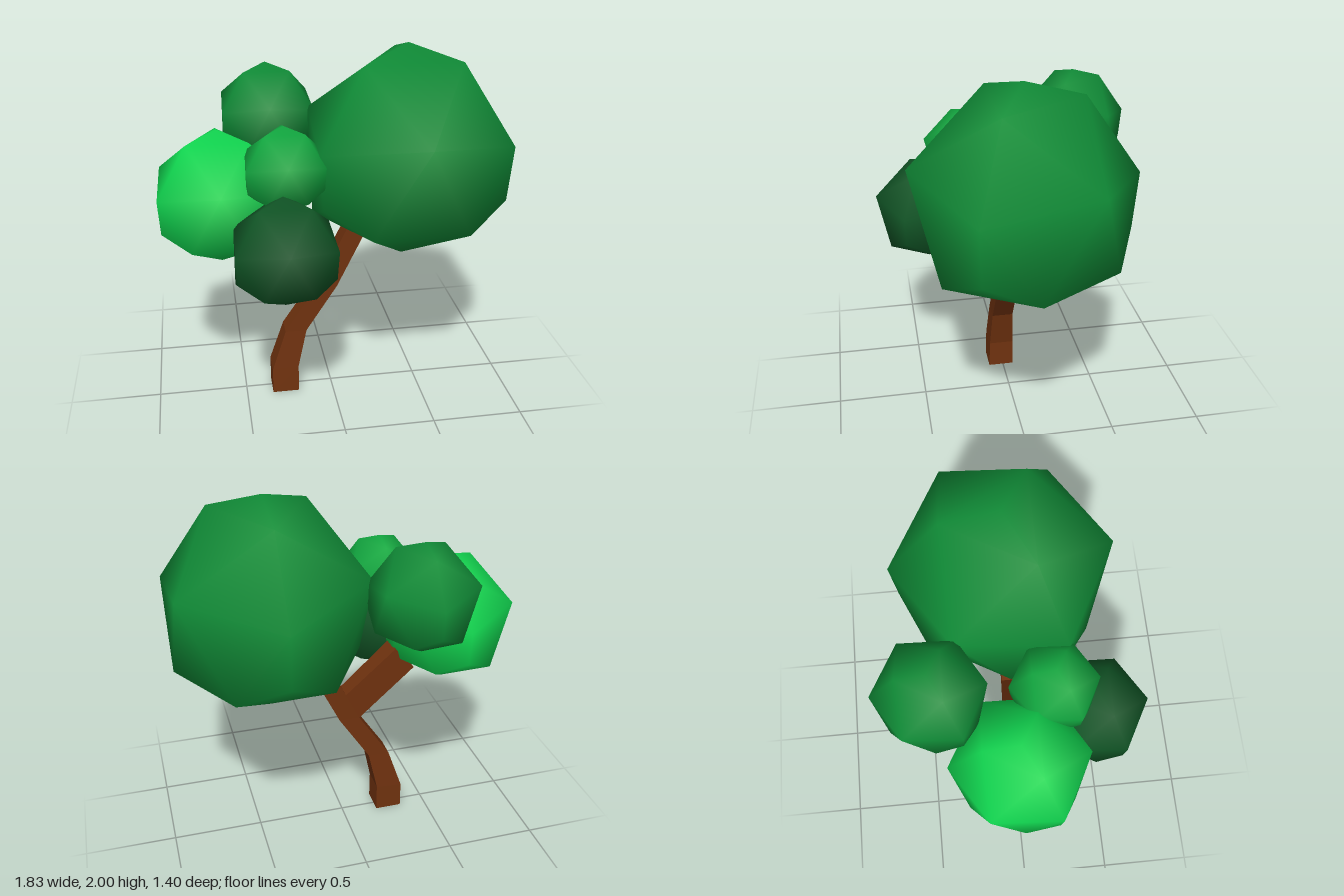
import * as THREE from 'three';
import { ConvexGeometry } from 'three/addons/geometries/ConvexGeometry.js';

// Faceted crown: a unit hull of rings [height, radius, count, start angle], shaded smoothly
function crownGeometry() {
  const rings = [
    [1, 0, 1, 0],
    [0.866, 0.5, 3, -90],
    [0.33, 0.95, 3, 90],
    [0.17, 0.985, 3, -90],
    [-0.33, 0.945, 3, -90],
    [-0.53, 0.85, 6, 0],
    [-1, 0, 1, 0],
  ];
  const points = [];
  for (const [y, r, n, start] of rings) {
    for (let i = 0; i < n; i++) {
      const a = THREE.MathUtils.degToRad(start + (360 / n) * i);
      points.push(new THREE.Vector3(r * Math.cos(a), y, r * Math.sin(a)));
    }
  }
  const geometry = new ConvexGeometry(points);
  const pos = geometry.attributes.position;
  const normals = geometry.attributes.normal;
  const v = new THREE.Vector3();
  for (let i = 0; i < pos.count; i++) {
    v.fromBufferAttribute(pos, i).normalize();
    normals.setXYZ(i, v.x, v.y, v.z);
  }
  return geometry;
}

// Square limb lofted through sections [x1, y1, x2, y2, zBack, zFront]
function limbGeometry(sections) {
  const positions = [];
  const index = [];
  for (const [x1, y1, x2, y2, zb, zf] of sections) {
    positions.push(x1, y1, zf, x2, y2, zf, x2, y2, zb, x1, y1, zb);
  }
  for (let s = 0; s < sections.length - 1; s++) {
    for (let i = 0; i < 4; i++) {
      const a = s * 4 + i;
      const b = s * 4 + ((i + 1) % 4);
      index.push(a, b, b + 4, a, b + 4, a + 4);
    }
  }
  const t = (sections.length - 1) * 4;
  index.push(0, 2, 1, 0, 3, 2, t, t + 1, t + 2, t, t + 2, t + 3);
  const indexed = new THREE.BufferGeometry();
  indexed.setAttribute('position', new THREE.Float32BufferAttribute(positions, 3));
  indexed.setIndex(index);
  const geometry = indexed.toNonIndexed();
  geometry.computeVertexNormals();
  return geometry;
}

export function createModel() {
  const tree = new THREE.Group();
  tree.name = 'tree';

  const add = (name, geometry, material) => {
    const mesh = new THREE.Mesh(geometry, material);
    mesh.name = name;
    tree.add(mesh);
    return mesh;
  };

  // Bent trunk and its side branch
  const bark = new THREE.MeshStandardMaterial({ color: 0x70320f, flatShading: true });
  add('trunk', limbGeometry([
    [-0.35, 0, -0.2, 0, -0.06, 0.085],
    [-0.35, 0.15, -0.2, 0.16, -0.06, 0.08],
    [-0.27, 0.39, -0.15, 0.39, -0.05, 0.07],
    [-0.09, 0.66, 0.025, 0.66, -0.045, 0.07],
    [0.12, 1.09, 0.22, 1.06, -0.045, 0.07],
  ]), bark);
  add('branch', limbGeometry([
    [-0.09, 0.66, -0.01, 0.82, -0.045, 0.06],
    [-0.4, 0.95, -0.29, 1.08, -0.06, 0.06],
  ]), bark);

  // Leaf crowns: name, radius, centre, colour
  const crown = crownGeometry();
  const crowns = [
    ['mainCrown', 0.595, [0.405, 1.405, 0], 0x108c37],
    ['rightCrown', 0.373, [-0.6, 1.212, 0], 0x11d750],
    ['backCrown', 0.293, [-0.3, 1.537, -0.41], 0x108c37],
    ['frontCrown', 0.298, [-0.3, 1.06, 0.418], 0x105425],
    ['smallCrown', 0.234, [-0.27, 1.416, 0.2], 0x12a840],
  ];
  for (const [name, radius, centre, color] of crowns) {
    const mesh = add(name, crown, new THREE.MeshStandardMaterial({ color }));
    mesh.scale.setScalar(radius);
    mesh.position.set(...centre);
  }
  return tree;
}
